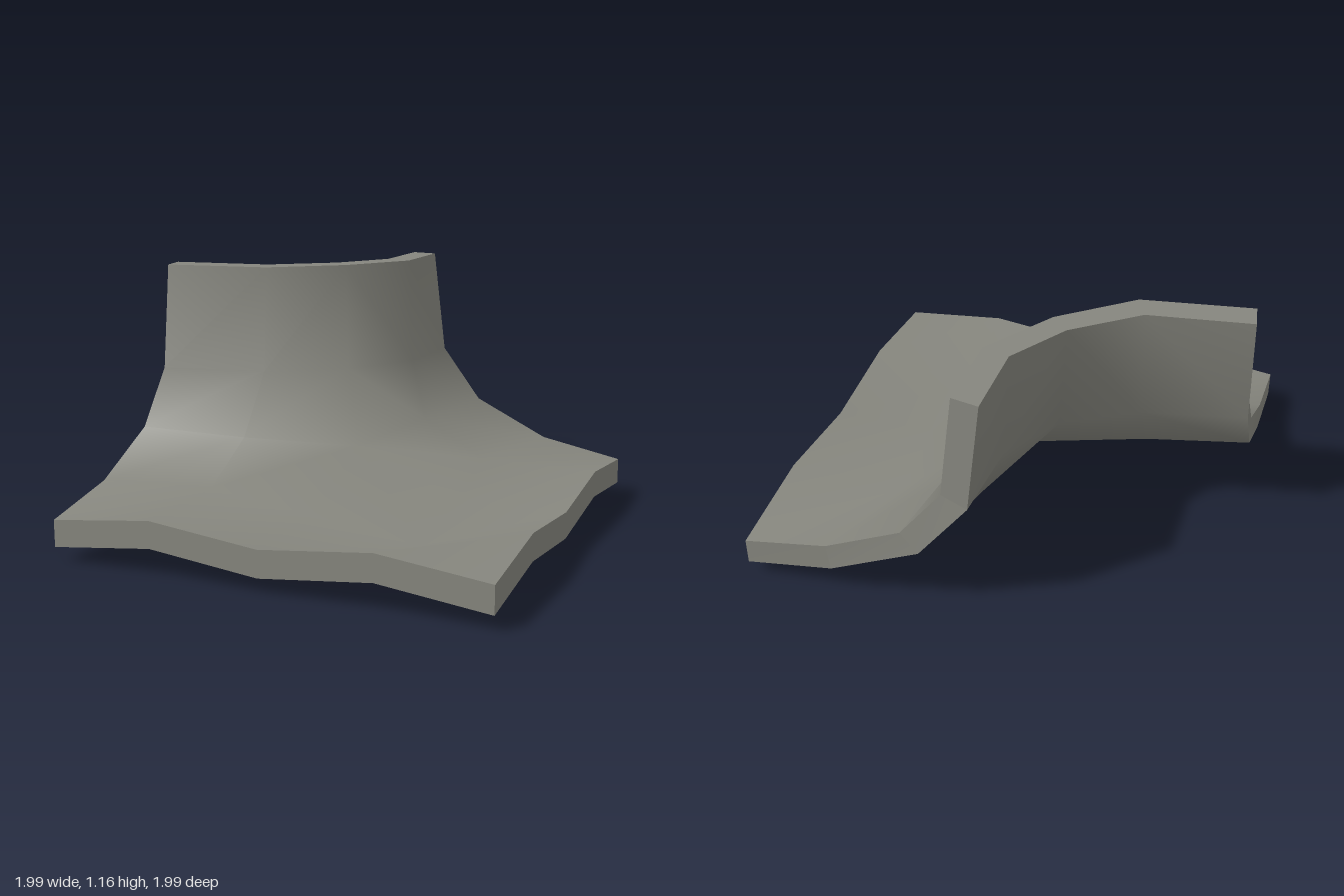
import * as THREE from 'three';

// Shared points of the corner fan: wall top, wall foot and the hollow in the ground
const top = [-0.2, 1.165, -0.32], upper = [-0.16, 0.68, -0.26], foot = [0, 0.38, 0];
const hollow = [0.5, 0.12, 0.5], cornerBack = [-0.08, -0.08];

// Columns from the left end around to the back end, each running from the wall top
// to the ground edge; back is the sideways thickness of the wall in x and z
const columns = [
  { back: [-0.02, -0.12], path: [[-0.98, 1.165, 0], [-0.98, 0.68, 0.06], [-0.98, 0.43, 0.25], [-0.975, 0.26, 0.6], [-0.97, 0.185, 0.985]] },
  { back: [-0.05, -0.11], path: [[-0.5, 1.165, -0.08], [-0.5, 0.68, -0.05], [-0.5, 0.405, 0.16], [-0.5, 0.245, 0.47], [-0.5, 0.24, 0.985]] },
  { back: cornerBack, path: [top, upper, foot, [0, 0.19, 0.5], [0, 0.185, 0.985]] },
  { back: cornerBack, path: [top, upper, foot, hollow, [0.5, 0.24, 0.985]] },
  { back: cornerBack, path: [top, upper, foot, hollow, [0.985, 0.24, 0.5]] },
  { back: cornerBack, path: [top, upper, foot, [0.5, 0.19, 0], [0.985, 0.185, 0]] },
  { back: [-0.12, -0.03], path: [[0, 1.165, -0.62], [0.04, 0.68, -0.58], [0.14, 0.415, -0.5], [0.44, 0.245, -0.5], [0.985, 0.24, -0.5]] },
  { back: [-0.12, -0.02], path: [[0, 1.165, -0.98], [0.06, 0.68, -0.98], [0.25, 0.43, -0.98], [0.6, 0.26, -0.98], [0.985, 0.185, -0.98]] },
];
const corner = [0.985, 0.185, 0.985];
const COLS = columns.length, ROWS = 5;

// Thickness direction by row: sideways on the wall, downwards on the ground
const backShift = [1, 1, 0.7, 0.15, 0];
const downShift = [0, 0.03, 0.08, 0.12, 0.12];

// The extra column number COLS stands for the single front corner point
const outerPoint = (j, k) => (j === COLS ? corner : columns[j].path[k]);

function innerPoint(j, k) {
  const [x, y, z] = outerPoint(j, k);
  const [bx, bz] = j === COLS ? [0, 0] : columns[j].back;
  return [x + bx * backShift[k], y - downShift[k], z + bz * backShift[k]];
}

function geometryFrom(points, index) {
  const g = new THREE.BufferGeometry();
  g.setAttribute('position', new THREE.Float32BufferAttribute(points.flat(), 3));
  g.setIndex(index);
  g.computeVertexNormals();
  return g;
}

// Smooth sheet over the columns, with coincident points shared
function sheet(pointAt, flip) {
  const points = [], index = [], known = new Map();
  const vertex = (j, k) => {
    const p = pointAt(j, k), key = p.join();
    if (!known.has(key)) known.set(key, points.push(p) - 1);
    return known.get(key);
  };
  const triangle = (p, q, r) => {
    if (p !== q && q !== r && r !== p) index.push(...(flip ? [p, r, q] : [p, q, r]));
  };
  for (let j = 0; j < COLS - 1; j++) {
    for (let k = 0; k < ROWS - 1; k++) {
      const a = vertex(j, k), b = vertex(j, k + 1), c = vertex(j + 1, k + 1), d = vertex(j + 1, k);
      if (j < 3) { triangle(a, b, d); triangle(b, c, d); }
      else { triangle(a, b, c); triangle(a, c, d); }
    }
  }
  // front corner flap
  triangle(vertex(3, ROWS - 1), vertex(COLS, ROWS - 1), vertex(4, ROWS - 1));
  return geometryFrom(points, index);
}

// Flat-faced rim joining both sheets all the way round
function rimGeometry() {
  const last = ROWS - 1, loop = [];
  for (const j of [0, 1, 2, 3, COLS, 4, 5, 6]) loop.push([j, last]);
  for (let k = last; k > 0; k--) loop.push([COLS - 1, k]);
  for (const j of [7, 6, 2, 1]) loop.push([j, 0]);
  for (let k = 0; k < last; k++) loop.push([0, k]);
  const points = [], index = [];
  loop.forEach((p, i) => {
    const q = loop[(i + 1) % loop.length], n = points.length;
    points.push(innerPoint(...p), innerPoint(...q), outerPoint(...q), outerPoint(...p));
    index.push(n, n + 1, n + 2, n, n + 2, n + 3);
  });
  return geometryFrom(points, index);
}

export function createModel() {
  const model = new THREE.Group();
  model.name = 'cliffCorner';
  const stone = new THREE.MeshStandardMaterial({ color: 0x86867e });
  stone.name = 'stoneGrey';

  const add = (name, geometry) => {
    const mesh = new THREE.Mesh(geometry, stone);
    mesh.name = name;
    model.add(mesh);
  };
  add('cliffSurface', sheet(outerPoint, false));
  add('cliffUnderside', sheet(innerPoint, true));
  add('cliffRim', rimGeometry());
  return model;
}
